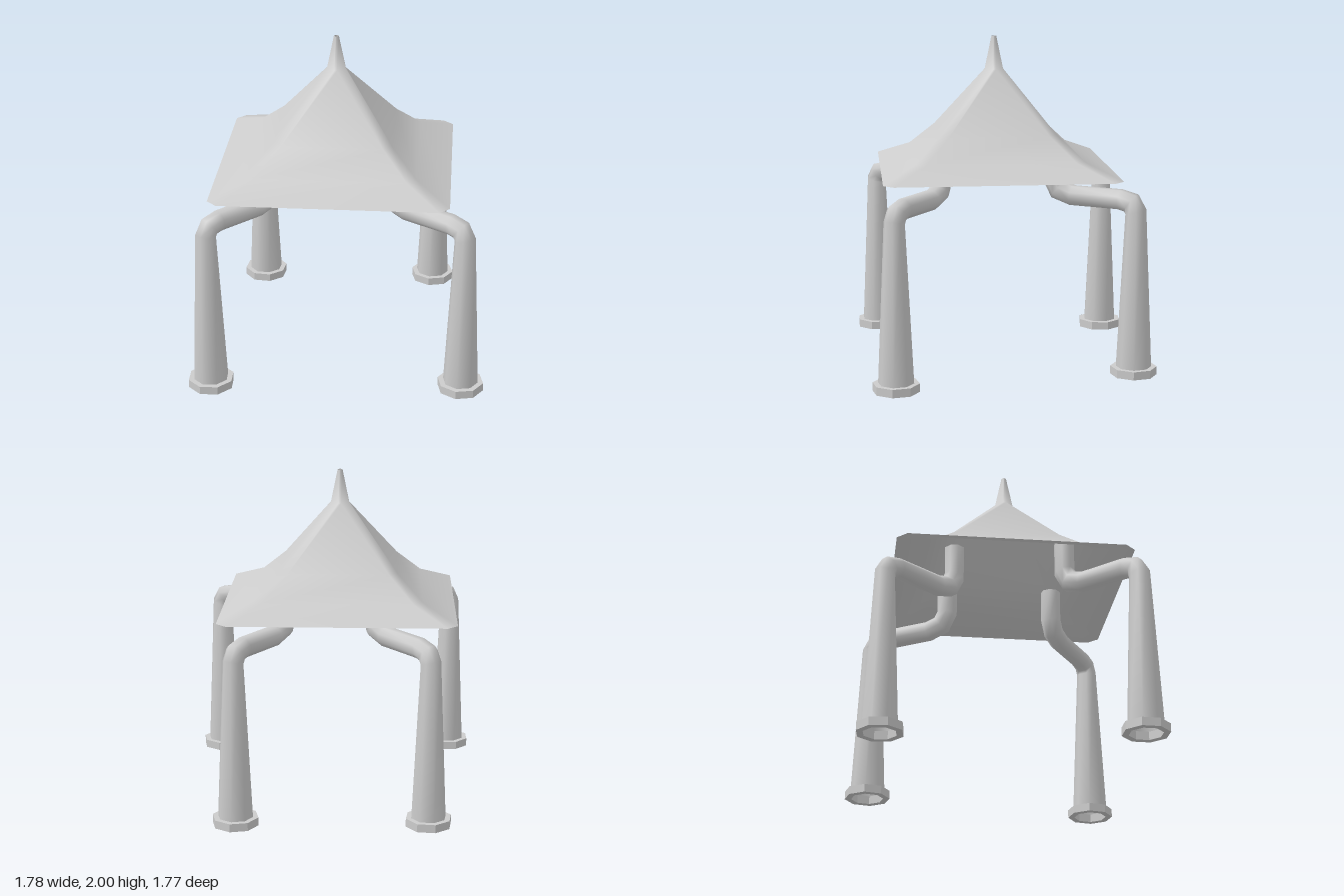
import * as THREE from 'three';

const SIDES = 8;

// Skins a list of equal closed rings (each an array of [x, y, z]) running bottom to top.
function loft(rings) {
  const n = rings[0].length;
  const index = [];
  for (let j = 0; j < rings.length - 1; j++) {
    for (let i = 0; i < n; i++) {
      const k = (i + 1) % n;
      const a = j * n + i, b = j * n + k, c = a + n, d = b + n;
      index.push(a, c, b, b, c, d);
    }
  }
  const geo = new THREE.BufferGeometry();
  geo.setAttribute('position', new THREE.Float32BufferAttribute(rings.flat(2), 3));
  geo.setIndex(index);
  geo.computeVertexNormals();
  return geo;
}

// Square ring with clipped corners.
function clippedSquare(y, h, clip) {
  const e = h - clip;
  return [[h, y, -e], [h, y, e], [e, y, h], [-e, y, h], [-h, y, e], [-h, y, -e], [-e, y, -h], [e, y, -h]];
}

// Tube swept along a path of [s, y, radius] lying in the local xy plane, mitred at bends.
function sweptPipe(path) {
  const rings = path.map(([s, y, r], j) => {
    const dir = (a, b) => new THREE.Vector2(b[0] - a[0], b[1] - a[1]).normalize();
    const before = dir(path[Math.max(j - 1, 0)], path[Math.max(j, 1)]);
    const last = path.length - 1;
    const after = dir(path[Math.min(j, last - 1)], path[Math.min(j + 1, last)]);
    const t = before.clone().add(after).normalize();
    const miter = r / t.dot(before);
    return Array.from({ length: SIDES }, (_, i) => {
      const a = ((i + 0.5) / SIDES) * Math.PI * 2;
      const u = Math.cos(a) * miter;
      return [s + t.y * u, y - t.x * u, Math.sin(a) * r];
    });
  });
  return loft(rings);
}

export function createModel() {
  const model = new THREE.Group();
  const smooth = new THREE.MeshStandardMaterial({ color: 0xcccccc, side: THREE.DoubleSide });
  const flat = new THREE.MeshStandardMaterial({ color: 0xcccccc, side: THREE.DoubleSide, flatShading: true });

  // Flared pyramid roof ending in a slim spike: [y, half width, corner clip]
  const roofLevels = [
    [1.19, 0.707, 0.06], [1.28, 0.505, 0.055], [1.425, 0.352, 0.05],
    [1.8, 0.056, 0.048], [2.0, 0.015, 0.012],
  ];
  const roof = new THREE.Mesh(loft(roofLevels.map(l => clippedSquare(...l))), smooth);
  roof.name = 'roof';
  roof.position.set(-0.045, 0, 0.035);
  model.add(roof);

  // Hollow foot ring shared by all legs
  const footProfile = [[0.1, 0], [0.14, 0], [0.14, 0.05], [0.1, 0.05], [0.1, 0]]
    .map(p => new THREE.Vector2(...p));
  const footGeo = new THREE.LatheGeometry(footProfile, SIDES, Math.PI / SIDES);

  // Bent legs: foot position, then where the pipe turns up into the roof
  const legs = [
    ['frontRightLeg', [-0.755, 0.75], [-0.39, 0.365]],
    ['frontLeftLeg', [0.755, 0.685], [0.295, 0.38]],
    ['backRightLeg', [-0.595, -0.73], [-0.25, -0.295]],
    ['backLeftLeg', [0.55, -0.755], [0.265, -0.295]],
  ];
  for (const [name, [x, z], [ex, ez]] of legs) {
    const reach = Math.hypot(ex - x, ez - z);
    const leg = new THREE.Group();
    leg.name = name;
    leg.position.set(x, 0, z);
    leg.rotation.y = Math.atan2(z - ez, ex - x);

    const pipe = new THREE.Mesh(sweptPipe([
      [0, 0.02, 0.108], [0, 1.0, 0.062], [0.03, 1.05, 0.062], [0.1, 1.067, 0.062],
      [reach - 0.13, 1.067, 0.062], [reach - 0.04, 1.095, 0.062], [reach, 1.17, 0.062],
      [reach, 1.365, 0.062],
    ]), smooth);
    pipe.name = 'pipe';
    const foot = new THREE.Mesh(footGeo, flat);
    foot.name = 'foot';
    leg.add(pipe, foot);
    model.add(leg);
  }
  return model;
}
